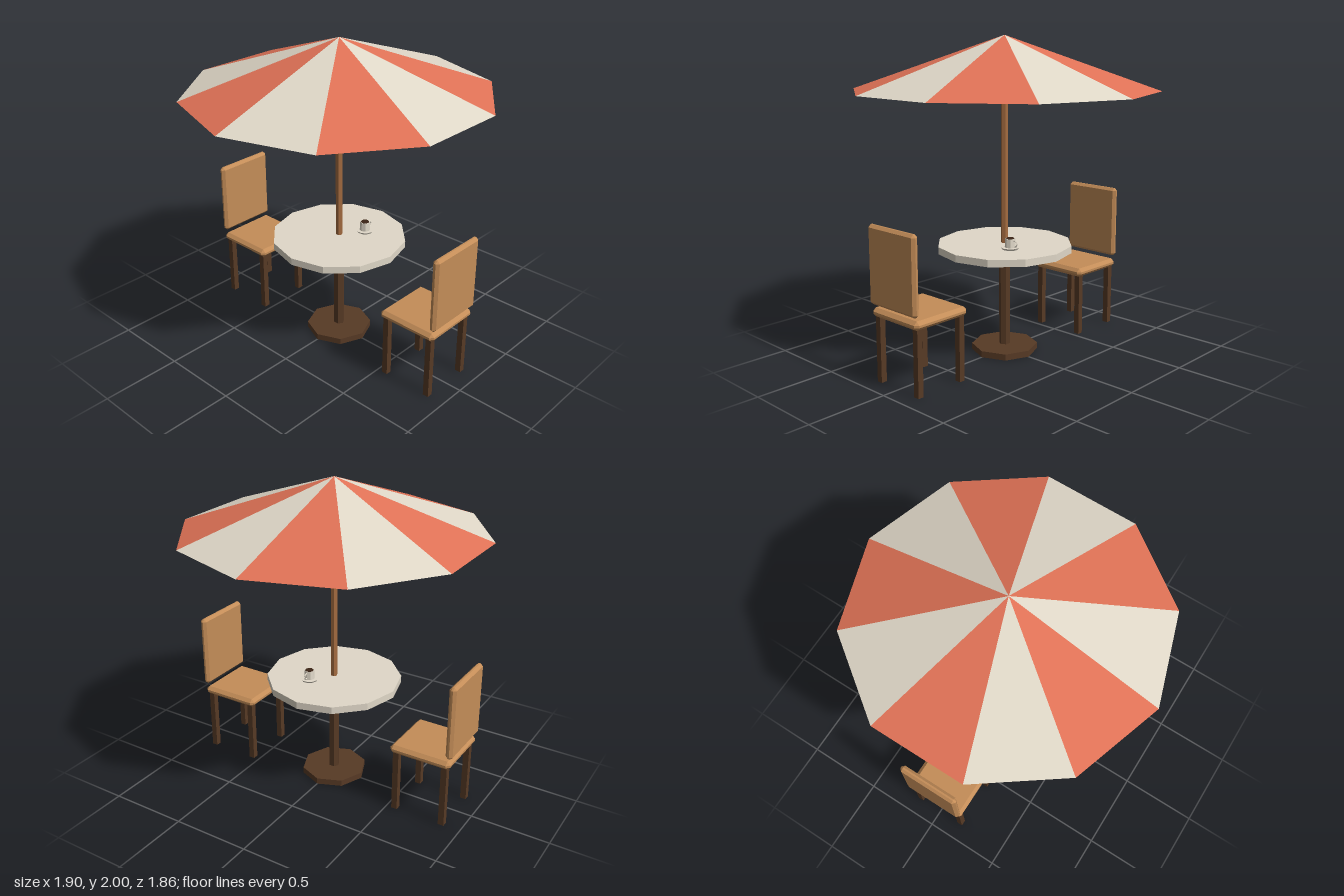
import * as THREE from 'three';
import { ConvexGeometry } from 'three/addons/geometries/ConvexGeometry.js';

function material(name, color, side = THREE.FrontSide) {
  const m = new THREE.MeshStandardMaterial({ color, side, flatShading: true });
  m.name = name;
  return m;
}

function add(parent, name, geometry, mat, x = 0, y = 0, z = 0) {
  const mesh = new THREE.Mesh(geometry, mat);
  mesh.name = name;
  mesh.position.set(x, y, z);
  parent.add(mesh);
  return mesh;
}

// Box with every edge cut at 45 degrees
function chamferBox(w, h, d, c) {
  const points = [];
  for (const sx of [-1, 1]) for (const sy of [-1, 1]) for (const sz of [-1, 1]) {
    const [x, y, z] = [w / 2, h / 2, d / 2];
    points.push(
      new THREE.Vector3(sx * x, sy * (y - c), sz * (z - c)),
      new THREE.Vector3(sx * (x - c), sy * y, sz * (z - c)),
      new THREE.Vector3(sx * (x - c), sy * (y - c), sz * z));
  }
  return new ConvexGeometry(points);
}

export function createModel() {
  const model = new THREE.Group();
  model.name = 'patioSet';

  const cream = material('cream', 0xe0d8c8);
  const creamCanvas = material('creamCanvas', 0xe0d8c8, THREE.DoubleSide);
  const redCanvas = material('redCanvas', 0xe07256, THREE.DoubleSide);
  const lightWood = material('lightWood', 0xc48d58);
  const poleWood = material('poleWood', 0xa56c40);
  const darkWood = material('darkWood', 0x573a25);
  const coffee = material('coffee', 0x3a2416);

  // Parasol: open ten-sided cone with alternating panels, cream at the front
  const canopy = new THREE.ConeGeometry(0.95, 0.33, 10, 1, true, -Math.PI / 10);
  canopy.clearGroups();
  for (let i = 0; i < 10; i++) canopy.addGroup(i * 3, 3, i % 2);
  add(model, 'canopy', canopy, [creamCanvas, redCanvas], 0, 1.835, 0);
  add(model, 'pole', new THREE.CylinderGeometry(0.022, 0.022, 1.13, 6), poleWood, 0, 1.265, 0);

  // Table
  const table = new THREE.Group();
  table.name = 'table';
  model.add(table);
  add(table, 'tableTop', new THREE.CylinderGeometry(0.428, 0.428, 0.045, 12), cream, 0, 0.6875, 0);
  add(table, 'tableColumn', new THREE.CylinderGeometry(0.035, 0.035, 0.64, 6), darkWood, 0, 0.35, 0);
  add(table, 'tableBase', new THREE.CylinderGeometry(0.21, 0.21, 0.04, 8), darkWood, 0, 0.02, 0);

  // Cup on its saucer, handle towards +x
  const cup = new THREE.Group();
  cup.name = 'cup';
  cup.position.set(0.14, 0.71, 0.097);
  model.add(cup);
  add(cup, 'saucer', new THREE.CylinderGeometry(0.058, 0.05, 0.012, 10), cream, 0, 0.006, 0);
  add(cup, 'cupBody', new THREE.CylinderGeometry(0.031, 0.034, 0.055, 8), cream, 0, 0.0395, 0);
  add(cup, 'coffee', new THREE.CylinderGeometry(0.027, 0.027, 0.003, 8), coffee, 0, 0.0675, 0);
  add(cup, 'cupHandle', new THREE.TorusGeometry(0.018, 0.005, 4, 8), cream, 0.038, 0.038, 0);

  // Two chairs facing the table, backrests outward
  for (const [name, turn] of [['frontChair', 0], ['backChair', Math.PI]]) {
    const chair = new THREE.Group();
    chair.name = name;
    chair.rotation.y = turn;
    model.add(chair);
    add(chair, 'seat', chamferBox(0.4, 0.056, 0.4, 0.021), lightWood, 0, 0.43, 0.715);
    add(chair, 'backrest', chamferBox(0.4, 0.475, 0.045, 0.017), lightWood, 0, 0.7175, 0.905);
    for (const sx of [-1, 1]) for (const sz of [-1, 1]) {
      add(chair, 'leg', new THREE.BoxGeometry(0.038, 0.405, 0.038), darkWood,
        sx * 0.163, 0.2025, 0.715 + sz * 0.161);
    }
  }

  return model;
}
